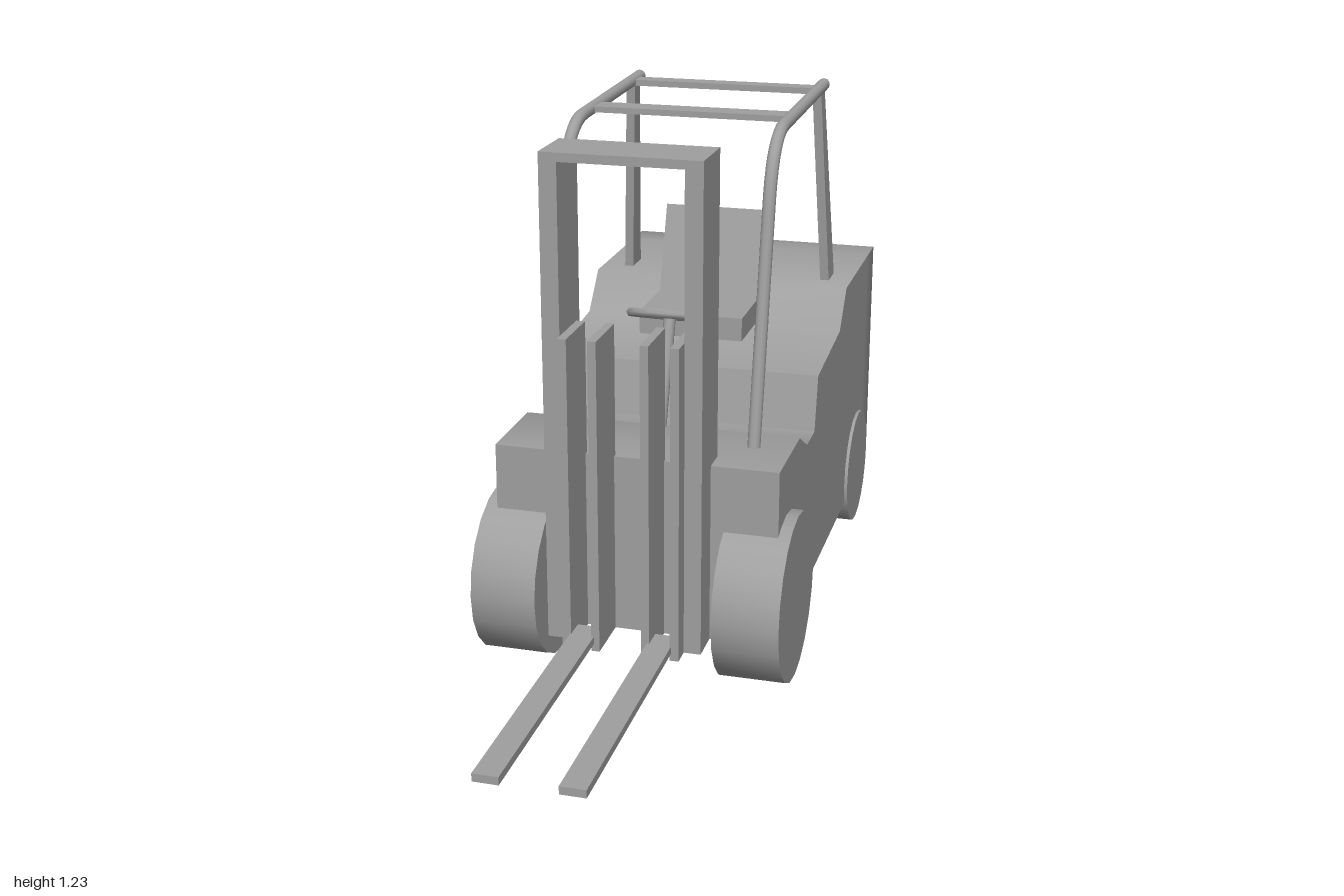
import * as THREE from 'three';
import { mergeGeometries, toCreasedNormals } from 'three/addons/utils/BufferGeometryUtils.js';

const material = new THREE.MeshStandardMaterial({ color: 0x9f9f9f });
const tubeMaterial = new THREE.MeshStandardMaterial({ color: 0x9f9f9f, side: THREE.DoubleSide });

export function createModel() {
  const model = new THREE.Group();
  model.name = 'forklift';

  const add = (name, geometry, mat = material) => {
    const mesh = new THREE.Mesh(geometry, mat);
    mesh.name = name;
    model.add(mesh);
    return mesh;
  };

  // Box given by its limits on each axis
  const box = (name, x0, x1, y0, y1, z0, z1) =>
    add(name, new THREE.BoxGeometry(x1 - x0, y1 - y0, z1 - z0))
      .position.set((x0 + x1) / 2, (y0 + y1) / 2, (z0 + z1) / 2);

  // Side profile of [z, y] points, extruded symmetrically across x
  const profile = (points, width) => {
    const shape = new THREE.Shape(points.map(([z, y]) => new THREE.Vector2(z, y)));
    return new THREE.ExtrudeGeometry(shape, { depth: width, bevelEnabled: false })
      .translate(0, 0, -width / 2).rotateY(-Math.PI / 2);
  };

  // Chassis with a stepped floor, seat deck and engine cover
  const chassis = profile([
    [0.26, 0.11], [0.26, 0.53], [0.04, 0.53], [-0.05, 0.48], [-0.14, 0.48], [-0.17, 0.61],
    [-0.45, 0.635], [-0.53, 0.725], [-0.85, 0.725], [-0.85, 0.11],
  ], 0.654);

  // Counterweight: a box whose last ring tapers in
  const weight = new THREE.BoxGeometry(0.654, 0.615, 0.15, 1, 1, 2).translate(0, 0.4175, -0.925);
  const wp = weight.attributes.position;
  for (let i = 0; i < wp.count; i++) {
    const z = wp.getZ(i);
    if (z < -0.99) {
      wp.setX(i, Math.sign(wp.getX(i)) * 0.28);
      wp.setY(i, wp.getY(i) > 0.4 ? 0.68 : 0.155);
    } else if (z < -0.9) wp.setZ(i, -0.945);
  }
  // Both are softly shaded as one body, with the steep steps kept sharp
  add('body', toCreasedNormals(mergeGeometries([chassis, weight.toNonIndexed()]), 1.0));

  // Wheels
  const wheel = (name, x, radius, width, y, z) =>
    add(name, toCreasedNormals(new THREE.CylinderGeometry(radius, radius, width, 20).rotateZ(Math.PI / 2), 0.6))
      .position.set(x, y, z);

  // Overhead guard tube path, rising from the cowl and bending back
  const guardTube = (x) => {
    const p = (y, z) => new THREE.Vector3(x, y, z);
    const path = new THREE.CurvePath();
    path.add(new THREE.LineCurve3(p(0.52, 0.122), p(1.06, 0.005)));
    path.add(new THREE.QuadraticBezierCurve3(p(1.06, 0.005), p(1.205, -0.025), p(1.21, -0.14)));
    path.add(new THREE.LineCurve3(p(1.21, -0.14), p(1.22, -0.62)));
    return new THREE.TubeGeometry(path, 48, 0.015, 10);
  };

  // The mast and seat sit a touch right of the centre line
  const shift = -0.005;

  for (const [side, s] of [['left', 1], ['right', -1]]) {
    wheel(side + 'FrontWheel', s * 0.279, 0.197, 0.152, 0.2, 0.177);
    wheel(side + 'RearWheel', s * 0.268, 0.15, 0.134, 0.165, -0.745);

    add(side + 'GuardTube', guardTube(s * 0.238), tubeMaterial);
    const cap = add(side + 'GuardTubeCap', new THREE.CylinderGeometry(0.015, 0.015, 0.004, 10).rotateX(Math.PI / 2));
    cap.position.set(s * 0.238, 1.22, -0.619);

    // Rear guard post, leaning outward towards its foot
    const post = profile([[-0.535, 1.215], [-0.58, 1.215], [-0.66, 0.715], [-0.588, 0.715]], 0.022);
    const pp = post.attributes.position;
    for (let i = 0; i < pp.count; i++) {
      pp.setX(i, pp.getX(i) + s * (0.237 + (1.215 - pp.getY(i)) * 0.046));
    }
    post.computeVertexNormals();
    add(side + 'GuardPost', post);

    // Mast upright, carriage rails and fork
    const pair = (name, a, b, offset, ...rest) =>
      box(side + name, Math.min(s * a, s * b) + offset, Math.max(s * a, s * b) + offset, ...rest);
    pair('MastUpright', 0.138, 0.178, shift, 0.11, 1.225, 0.2, 0.34);
    pair('OuterCarriageRail', 0.114, 0.134, 0, 0.11, 0.835, 0.25, 0.385);
    pair('InnerCarriageRail', 0.048, 0.067, 0, 0.11, 0.835, 0.25, 0.385);
    pair('Fork', 0.061, 0.117, 0, 0.127, 0.145, 0.335, 1.0);
  }

  box('mastTopBar', -0.178 + shift, 0.178 + shift, 1.205, 1.225, 0.2, 0.34);
  box('guardRearBar', -0.238, 0.238, 1.209, 1.224, -0.58, -0.535);
  box('guardFrontBar', -0.238, 0.238, 1.206, 1.22, -0.25, -0.19);

  // Seat
  box('seatCushion', -0.128 + shift, 0.128 + shift, 0.655, 0.712, -0.46, -0.245);
  const seatBack = profile([[-0.43, 0.712], [-0.5, 0.92], [-0.56, 0.9], [-0.478, 0.655], [-0.44, 0.655]], 0.256);
  add('seatBack', seatBack).position.x = shift;

  // Steering column and wheel share one tilt
  const tilt = -0.33;
  const column = add('steeringColumn', new THREE.CylinderGeometry(0.014, 0.014, 0.28, 10));
  column.rotation.x = tilt;
  column.position.set(0, 0.645, 0.007);
  const steering = add('steeringWheel', new THREE.TorusGeometry(0.092, 0.011, 6, 14).rotateX(-Math.PI / 2));
  steering.rotation.x = tilt;
  steering.position.set(0, 0.773, -0.037);

  // Line everything up on the truck's own centre line
  for (const part of model.children) part.position.x -= 0.003;

  return model;
}
